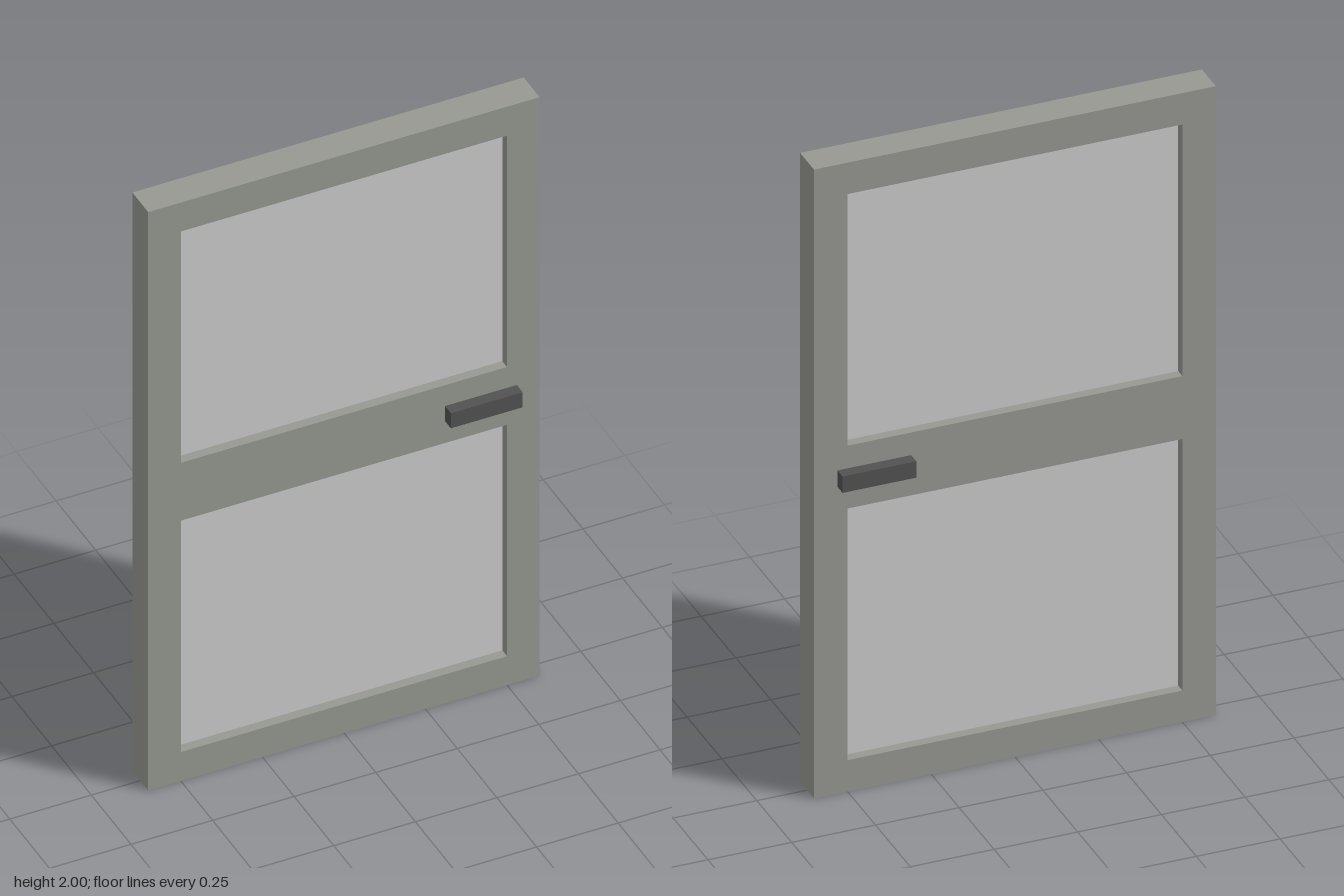
import * as THREE from 'three';

const WIDTH = 1.2, HEIGHT = 2, DEPTH = 0.1;
const OPENING = { w: 1, h: 0.8, centres: [0.5, 1.5] };

// Traces a rectangle centred on (cx, cy)
function rect(path, cx, cy, w, h) {
  path.moveTo(cx - w / 2, cy - h / 2);
  path.lineTo(cx + w / 2, cy - h / 2);
  path.lineTo(cx + w / 2, cy + h / 2);
  path.lineTo(cx - w / 2, cy + h / 2);
  path.closePath();
  return path;
}

function addMesh(group, name, geometry, material, x = 0, y = 0, z = 0) {
  const mesh = new THREE.Mesh(geometry, material);
  mesh.name = name;
  mesh.position.set(x, y, z);
  group.add(mesh);
}

export function createModel() {
  const door = new THREE.Group();
  door.name = 'door';
  const frameMaterial = new THREE.MeshStandardMaterial({ color: 0x969891 });
  const paneMaterial = new THREE.MeshStandardMaterial({ color: 0xcccccc });
  const handleMaterial = new THREE.MeshStandardMaterial({ color: 0x525252 });

  // Frame: one slab with two window openings
  const outline = rect(new THREE.Shape(), 0, HEIGHT / 2, WIDTH, HEIGHT);
  for (const y of OPENING.centres) {
    outline.holes.push(rect(new THREE.Path(), 0, y, OPENING.w, OPENING.h));
  }
  const frame = new THREE.ExtrudeGeometry(outline, { depth: DEPTH, bevelEnabled: false });
  addMesh(door, 'frame', frame, frameMaterial, 0, 0, -DEPTH / 2);

  // Panes: thinner than the frame, recessed on both faces
  const pane = new THREE.BoxGeometry(OPENING.w, OPENING.h, 0.04);
  OPENING.centres.forEach((y, i) => {
    addMesh(door, i ? 'upperPane' : 'lowerPane', pane, paneMaterial, 0, y, 0);
  });

  // Handles: a plain bar on each face of the middle rail
  const bar = new THREE.BoxGeometry(0.22, 0.052, 0.037);
  for (const side of [1, -1]) {
    addMesh(door, side > 0 ? 'frontHandle' : 'backHandle', bar, handleMaterial,
      0.42, 1.002, side * (DEPTH / 2 + 0.0185));
  }

  return door;
}
